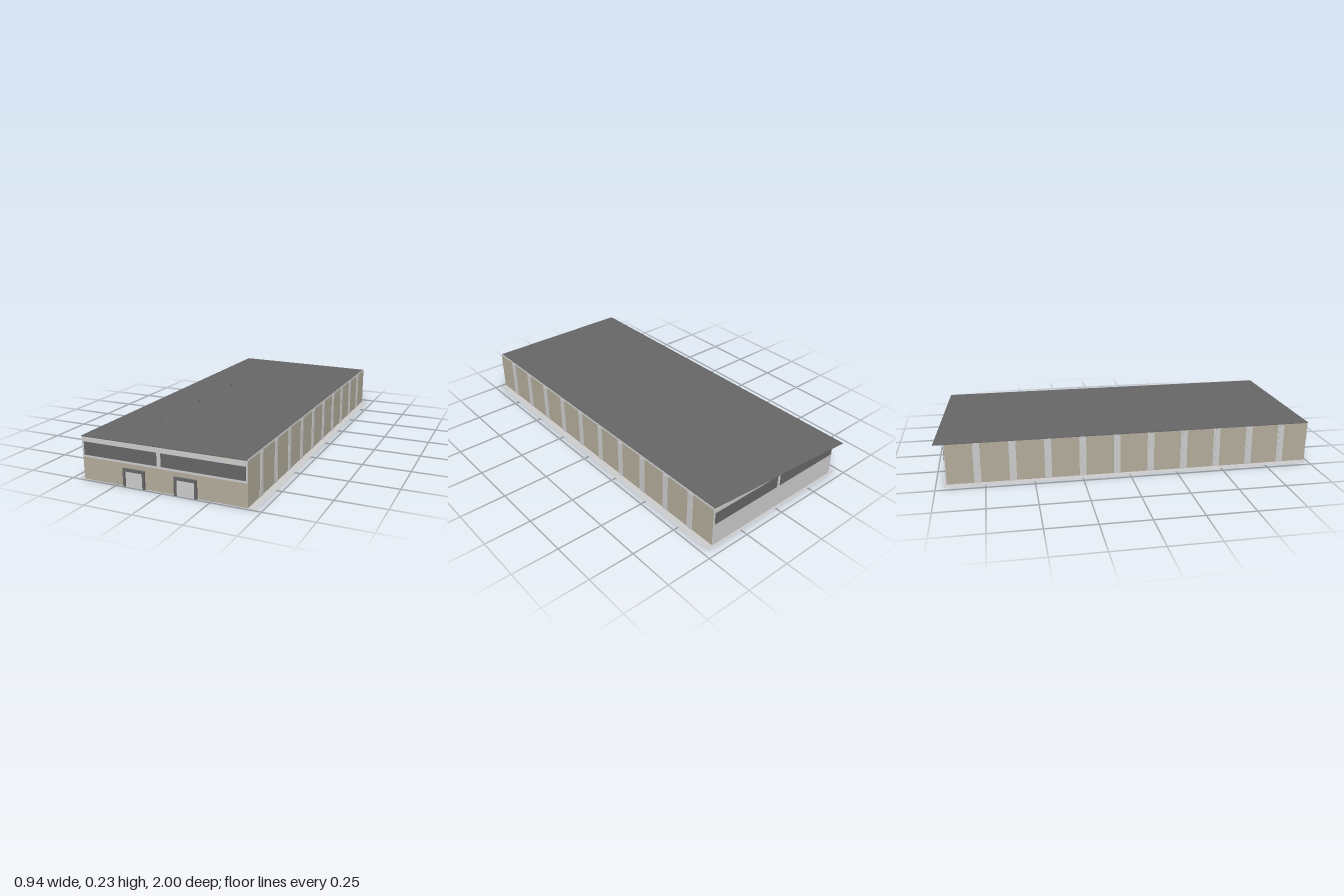
import * as THREE from 'three';

const mat = (name, color, side = THREE.FrontSide) => {
  const m = new THREE.MeshStandardMaterial({ color, side });
  m.name = name;
  return m;
};

export function createModel() {
  const model = new THREE.Group();
  model.name = 'warehouse';
  const beige = mat('beige brick', 0xb2ab9b);
  const light = mat('light grey', 0xcacaca, THREE.DoubleSide);
  const dark = mat('dark grey', 0x656565);

  const X0 = -0.437, X1 = 0.432, FRONT = 0.99, BACK = -0.945, H = 0.218;

  const add = (name, geo, material, parent = model) => {
    const mesh = new THREE.Mesh(geo, material);
    mesh.name = name;
    parent.add(mesh);
    return mesh;
  };
  // box given by its limits
  const box = (name, material, x0, x1, y0, y1, z0, z1, parent) => {
    const geo = new THREE.BoxGeometry(x1 - x0, y1 - y0, z1 - z0);
    geo.translate((x0 + x1) / 2, (y0 + y1) / 2, (z0 + z1) / 2);
    return add(name, geo, material, parent);
  };

  // flat apron around the building
  const apron = new THREE.PlaneGeometry(0.94, 1.945);
  apron.rotateX(-Math.PI / 2);
  apron.translate(0, 0, 0.0135);
  add('groundApron', apron, light);

  // main walls
  box('walls', beige, X0, X1, 0.002, H, BACK, FRONT);

  // light bands: upper half at the front, whole wall at the back
  box('frontUpperBand', light, X0, X1, 0.118, H, FRONT, FRONT + 0.003);
  box('backWallCladding', light, X0, X1, 0.002, H, BACK - 0.003, BACK);

  // window strips at both ends
  for (const [x0, x1] of [[-0.425, -0.025], [-0.002, 0.423]]) {
    box('frontWindow', dark, x0, x1, 0.13, 0.196, FRONT, FRONT + 0.006);
    box('backWindow', dark, x0, x1, 0.13, 0.196, BACK - 0.006, BACK);
  }

  // loading doors with dark frames
  for (const x of [-0.151, 0.1235]) {
    const door = new THREE.Group();
    door.name = 'loadingDoor';
    model.add(door);
    box('doorPanel', light, x - 0.047, x + 0.047, 0.002, 0.08, FRONT, FRONT + 0.003, door);
    box('doorLintel', dark, x - 0.0585, x + 0.0585, 0.08, 0.094, FRONT, 1, door);
    for (const s of [-1, 1]) {
      const a = x + s * 0.047, b = x + s * 0.0585;
      box('doorJamb', dark, Math.min(a, b), Math.max(a, b), 0.002, 0.08, FRONT, 1, door);
    }
  }

  // pilasters along both long sides, each with a narrow centre rib
  for (let i = 0; i < 10; i++) {
    const z = 0.84 - i * 0.181;
    for (const [s, x] of [[-1, X0], [1, X1]]) {
      const strip = (name, w, d) =>
        box(name, light, Math.min(x, x + s * d), Math.max(x, x + s * d), 0.002, H, z - w / 2, z + w / 2);
      strip('pilaster', 0.036, 0.003);
      strip('pilasterRib', 0.014, 0.005);
    }
  }

  // edge strip on the higher side of the roof
  box('roofEdgeStrip', light, X1 - 0.003, X1, H, 0.227, BACK, FRONT);

  // thin roof sheet with a skewed rear edge, rising gently towards +x
  const outline = new THREE.Shape([[-0.443, -0.992], [0.43, -0.992], [0.43, 0.945], [-0.443, 1]]
    .map(([x, y]) => new THREE.Vector2(x, y)));
  const roof = new THREE.ExtrudeGeometry(outline, { depth: 0.003, bevelEnabled: false });
  roof.rotateX(-Math.PI / 2);
  const p = roof.attributes.position;
  for (let i = 0; i < p.count; i++) {
    p.setY(i, p.getY(i) + 0.2195 + (p.getX(i) + 0.443) * 0.004);
  }
  roof.computeVertexNormals();
  add('roof', roof, dark);

  // small vent pipes on the roof
  const pipe = new THREE.CylinderGeometry(0.002, 0.002, 0.015, 6);
  for (const [x, z] of [[-0.203, 0.65], [-0.203, 0.23], [-0.203, -0.185], [-0.203, -0.6], [-0.232, -0.61]]) {
    add('ventPipe', pipe, dark).position.set(x, 0.2275, z);
  }
  return model;
}
